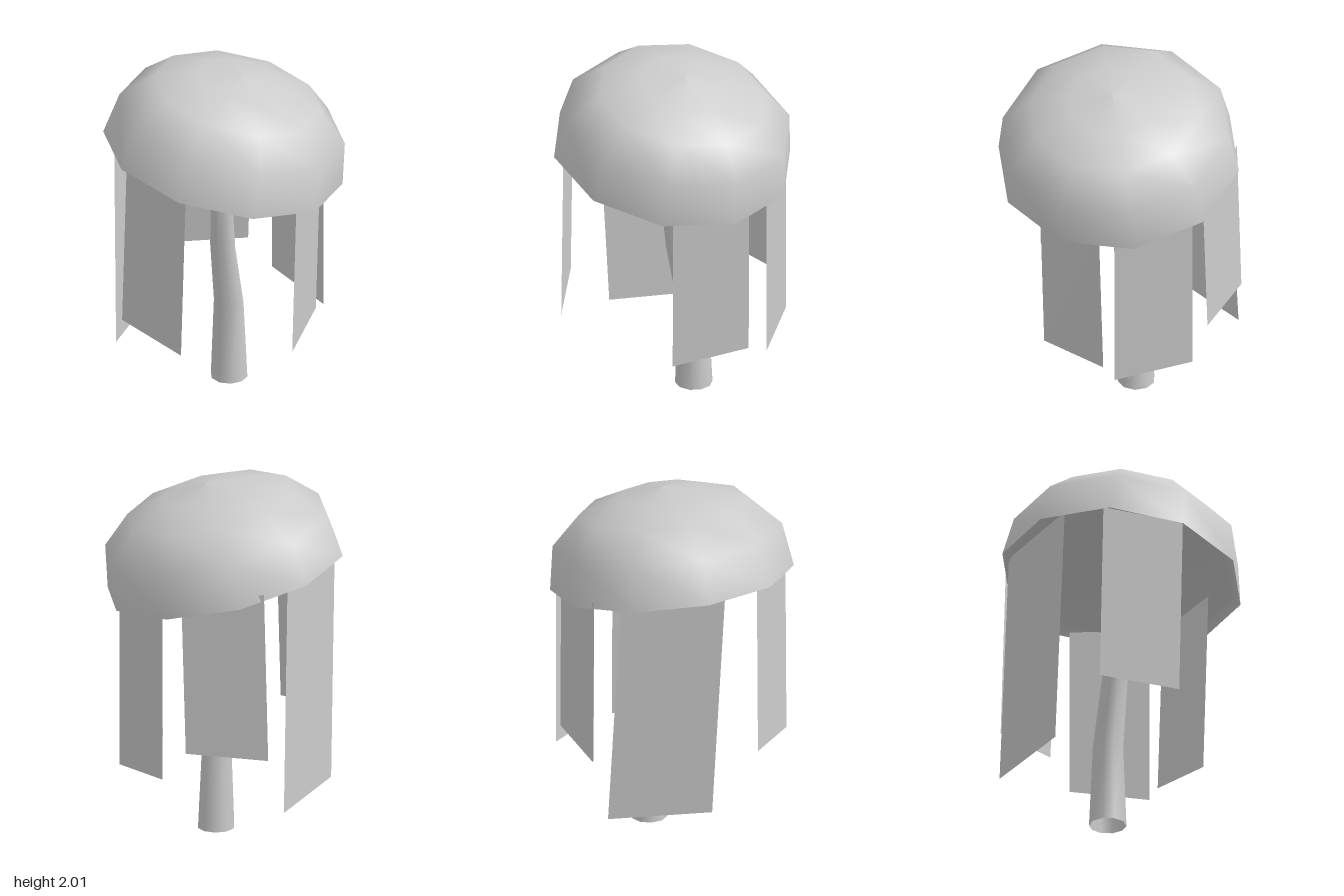
import * as THREE from 'three';
import { mergeVertices } from 'three/addons/utils/BufferGeometryUtils.js';

const RIM_Y = 1.47, SLOPE_X = -0.165, SLOPE_Z = 0.136;
const rimHeight = (x, z) => RIM_Y + SLOPE_X * x + SLOPE_Z * z;

const material = new THREE.MeshStandardMaterial({ color: 0xcccccc, side: THREE.DoubleSide });

function addMesh(parent, name, geometry) {
  const mesh = new THREE.Mesh(geometry, material);
  mesh.name = name;
  parent.add(mesh);
  return mesh;
}

function lathe(profile) {
  const points = profile.map(([r, y]) => new THREE.Vector2(r, y));
  return new THREE.LatheGeometry(points, 10, THREE.MathUtils.degToRad(9.5));
}

// Ten-sided tapering tube whose rings follow a bent path: [x, y, z, radius]
function bentTrunk(rings) {
  const sides = 10;
  const geo = new THREE.CylinderGeometry(1, 1, 1, sides, rings.length - 1, true);
  const pos = geo.attributes.position;
  for (let i = 0; i < pos.count; i++) {
    const [x, y, z, r] = rings[rings.length - 1 - Math.floor(i / (sides + 1))];
    pos.setXYZ(i, x + pos.getX(i) * r, y, z + pos.getZ(i) * r);
  }
  geo.deleteAttribute('normal');
  geo.deleteAttribute('uv');
  const merged = mergeVertices(geo, 1e-4);
  merged.computeVertexNormals();
  return merged;
}

// Flat hanging sheet: two bottom corners, and the sideways shift of its top edge
function hangingSheet(a, b, [dx, dz]) {
  const geo = new THREE.PlaneGeometry(1, 1);
  const top = ([x, , z]) => [x + dx, rimHeight(x + dx, z + dz) + 0.04, z + dz];
  [top(a), top(b), a, b].forEach((p, i) => geo.attributes.position.setXYZ(i, ...p));
  geo.computeVertexNormals();
  return geo;
}

export function createModel() {
  const model = new THREE.Group();
  model.name = 'weepingTree';

  // Tilted canopy: domed top with a slightly recessed underside
  const canopy = new THREE.Group();
  canopy.name = 'canopy';
  canopy.position.y = RIM_Y;
  const normal = new THREE.Vector3(-SLOPE_X, 1, -SLOPE_Z).normalize();
  canopy.quaternion.setFromUnitVectors(new THREE.Vector3(0, 1, 0), normal);
  addMesh(canopy, 'canopyTop', lathe([[0.685, 0], [0.645, 0.25], [0.48, 0.415], [0.255, 0.495], [0, 0.53]]));
  addMesh(canopy, 'canopyUnderside', lathe([[0, 0.07], [0.62, 0.05], [0.685, 0]]));
  model.add(canopy);

  // Bent trunk, open at the base
  addMesh(model, 'trunk', bentTrunk([
    [-0.035, 0, -0.125, 0.105],
    [-0.035, 0.48, -0.12, 0.085],
    [-0.025, 0.87, -0.04, 0.072],
    [-0.01, 1.2, 0, 0.063],
    [0, 1.58, 0.01, 0.06],
  ]));

  // Hanging foliage sheets, corners ordered left to right as seen from outside
  const sheets = [
    ['leftSideFoliage', [0.475, 0.375, 0.035], [0.365, 0.415, -0.4], [0.03, 0]],
    ['backFoliage', [0.355, 0.385, -0.5], [-0.07, 0.43, -0.645], [0, 0]],
    ['backRightFoliage', [-0.2, 0.6, -0.6], [-0.59, 0.575, -0.35], [0.03, 0]],
    ['rightSideFoliage', [-0.63, 0.25, -0.26], [-0.51, 0.28, 0.31], [0.03, 0.07]],
    ['frontFoliage', [-0.33, 0.59, 0.54], [0.11, 0.535, 0.63], [0.025, -0.01]],
  ];
  for (const [name, a, b, shift] of sheets) addMesh(model, name, hangingSheet(a, b, shift));

  return model;
}
